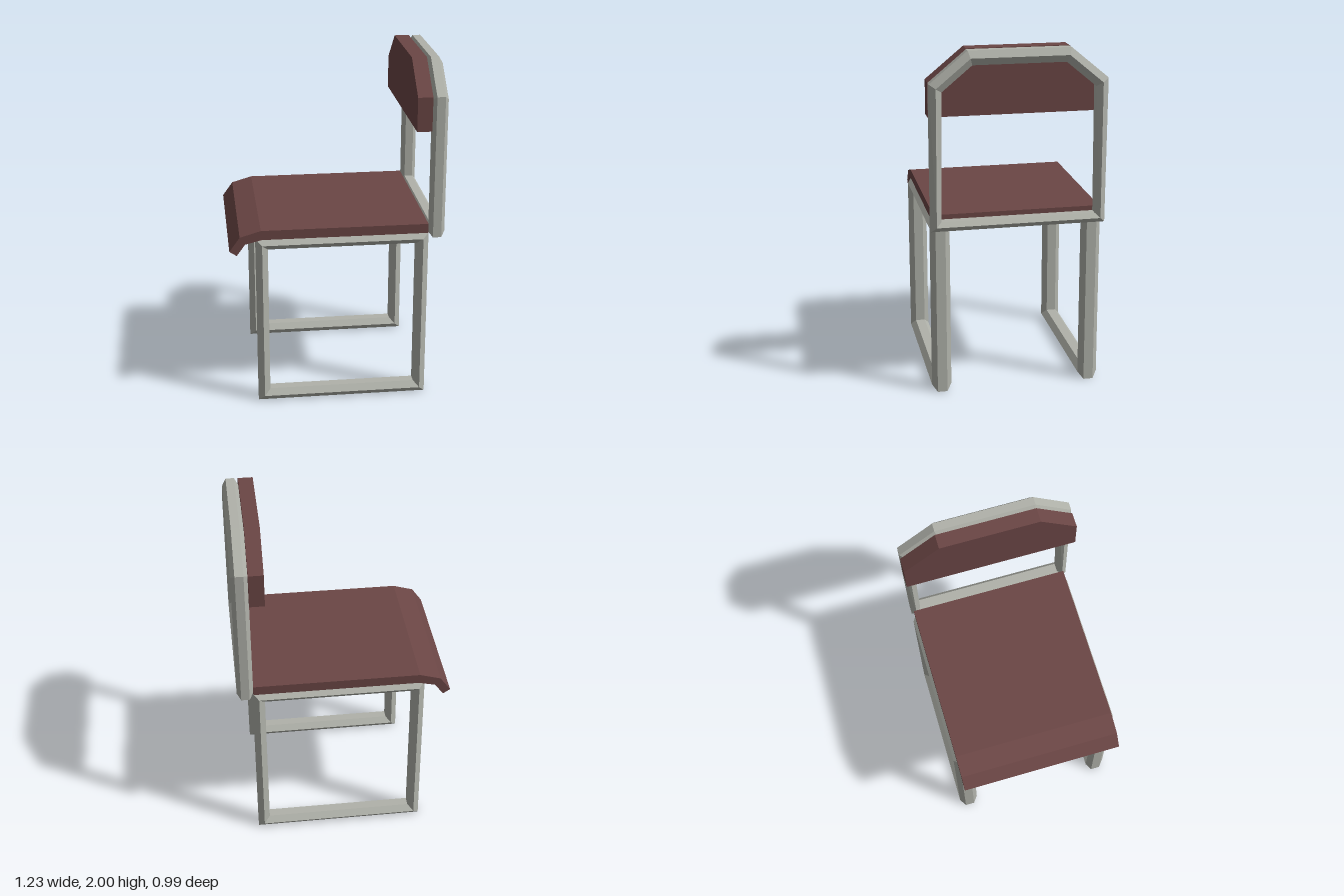
import * as THREE from 'three';

const metal = new THREE.MeshStandardMaterial({ color: 0xb0b2aa });
metal.name = 'grey frame';
const brown = new THREE.MeshStandardMaterial({ color: 0x6b4645 });
brown.name = 'brown upholstery';

// Closed bar frame with a six-sided section; outer and inner are
// matching counter-clockwise outlines in XY, flat and ridge are half depths.
function frameGeometry(outer, inner, flat, ridge) {
  const rings = outer.map(([ox, oy], i) => {
    const [ix, iy] = inner[i];
    const mx = (ox + ix) / 2, my = (oy + iy) / 2;
    return [
      [ox, oy, -flat], [ox, oy, flat], [mx, my, ridge],
      [ix, iy, flat], [ix, iy, -flat], [mx, my, -ridge],
    ];
  });
  const pos = [];
  rings.forEach((a, i) => {
    const b = rings[(i + 1) % rings.length];
    for (let k = 0; k < 6; k++) {
      const n = (k + 1) % 6;
      pos.push(...a[k], ...b[k], ...b[n], ...a[k], ...b[n], ...a[n]);
    }
  });
  const geo = new THREE.BufferGeometry();
  geo.setAttribute('position', new THREE.Float32BufferAttribute(pos, 3));
  geo.computeVertexNormals();
  return geo;
}

function prism(points, depth) {
  const shape = new THREE.Shape(points.map(([x, y]) => new THREE.Vector2(x, y)));
  return new THREE.ExtrudeGeometry(shape, { depth, bevelEnabled: false });
}

export function createModel() {
  const chair = new THREE.Group();
  chair.name = 'chair';
  const add = (name, geo, material, x = 0, z = 0) => {
    const mesh = new THREE.Mesh(geo, material);
    mesh.name = name;
    mesh.position.set(x, 0, z);
    chair.add(mesh);
  };

  // Two rectangular leg loops
  const legs = frameGeometry(
    [[-0.465, 0], [0.525, 0], [0.525, 1.022], [-0.465, 1.022]],
    [[-0.397, 0.07], [0.457, 0.07], [0.457, 0.957], [-0.397, 0.957]],
    0.028, 0.057);
  add('legFrameFront', legs, metal, 0, 0.434);
  add('legFrameRear', legs, metal, 0, -0.438);

  // Seat with a lip that folds down at the -x edge
  add('seat', prism([
    [0.522, 1.02], [0.522, 1.075], [-0.435, 1.075], [-0.555, 1.04],
    [-0.615, 0.957], [-0.574, 0.93], [-0.525, 0.997], [-0.43, 1.02],
  ].reverse(), 0.95), brown, 0, -0.478);

  // Upright back loop with clipped top corners
  const back = frameGeometry(
    [[-0.492, 1], [0.496, 1], [0.496, 1.825], [0.285, 2], [-0.285, 2], [-0.496, 1.825]],
    [[-0.434, 1.055], [0.438, 1.055], [0.428, 1.78], [0.26, 1.92], [-0.26, 1.92], [-0.428, 1.78]],
    0.024, 0.047);
  back.rotateY(-Math.PI / 2);
  add('backFrame', back, metal, 0.568);

  // Backrest panel following the top of the loop
  const panel = prism([
    [-0.497, 1.63], [0.495, 1.63], [0.495, 1.825], [0.283, 2], [-0.288, 2], [-0.497, 1.825],
  ], 0.085);
  panel.rotateY(-Math.PI / 2);
  add('backrest', panel, brown, 0.522);

  return chair;
}
